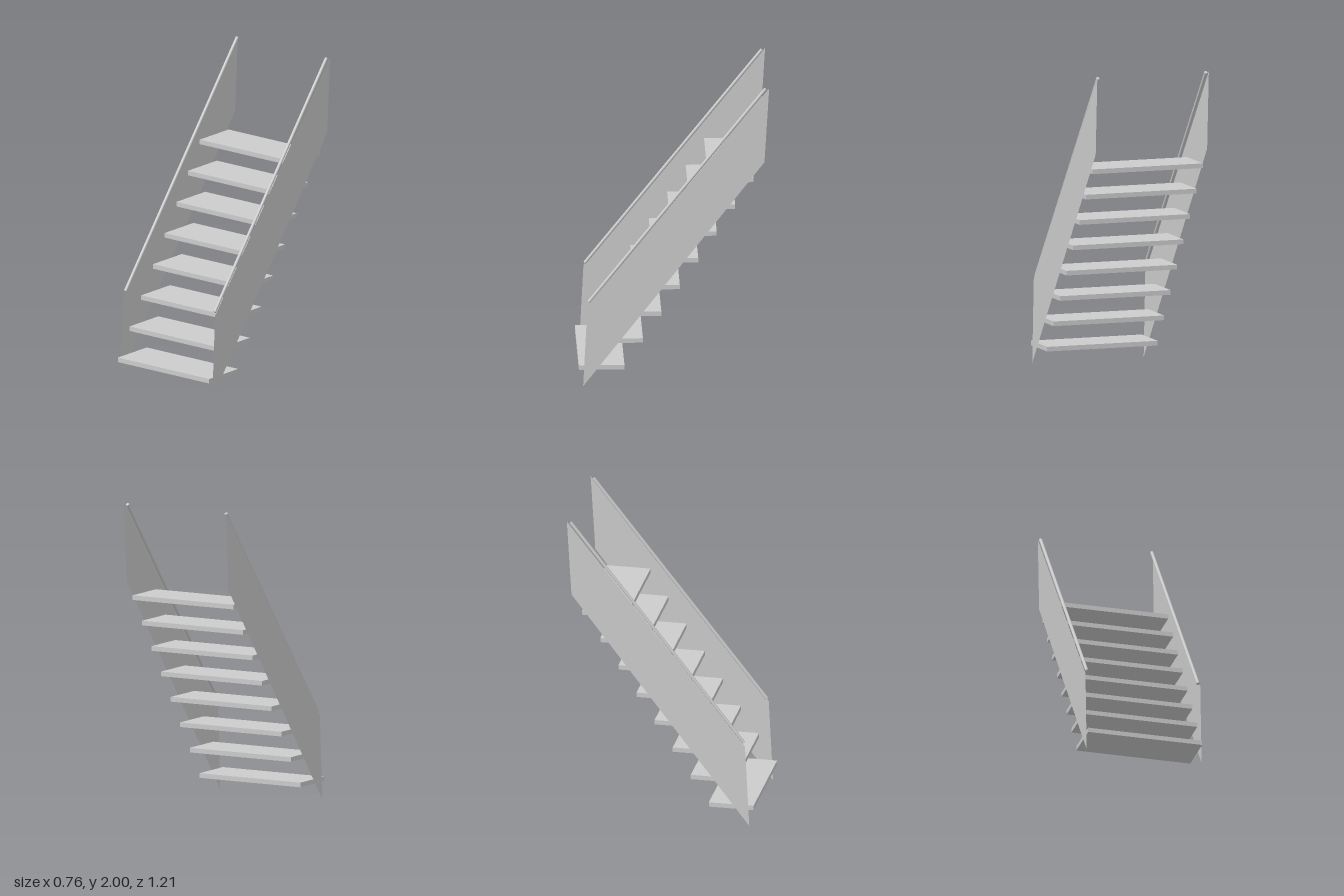
import * as THREE from 'three';

export function createModel() {
  const group = new THREE.Group();
  group.name = 'openStaircase';
  const grey = new THREE.MeshStandardMaterial({ color: 0xcccccc });
  const sheet = new THREE.MeshStandardMaterial({ color: 0xcccccc, side: THREE.DoubleSide });
  const add = (name, geometry, material = grey) => {
    const mesh = new THREE.Mesh(geometry, material);
    mesh.name = name;
    group.add(mesh);
    return mesh;
  };

  // Eight floating treads
  const treadGeometry = new THREE.BoxGeometry(0.75, 0.03, 0.29);
  for (let i = 0; i < 8; i++) {
    add(`tread${i + 1}`, treadGeometry, grey).position.set(0, 0.125 + i * 0.1793, 0.46 - i * 0.1173);
  }

  // Thin side panel outline, drawn as (-z, y) and turned to face sideways
  const outline = new THREE.Shape([
    [-0.578, 0], [0.575, 1.5], [0.605, 2], [-0.55, 0.545],
  ].map(([x, y]) => new THREE.Vector2(x, y)));
  const panelGeometry = new THREE.ShapeGeometry(outline).rotateY(Math.PI / 2);

  for (const [side, s] of [['left', 1], ['right', -1]]) {
    add(`${side}Panel`, panelGeometry, sheet).position.x = s * 0.378;

    // Round handrail along the inner top edge of the panel
    const start = new THREE.Vector3(s * 0.366, 0.567, 0.541);
    const end = new THREE.Vector3(s * 0.366, 1.992, -0.583);
    const direction = end.clone().sub(start);
    const rail = add(`${side}Handrail`, new THREE.CylinderGeometry(0.0105, 0.0105, direction.length(), 20));
    rail.position.copy(start).add(end).multiplyScalar(0.5);
    rail.quaternion.setFromUnitVectors(new THREE.Vector3(0, 1, 0), direction.normalize());
  }
  return group;
}
